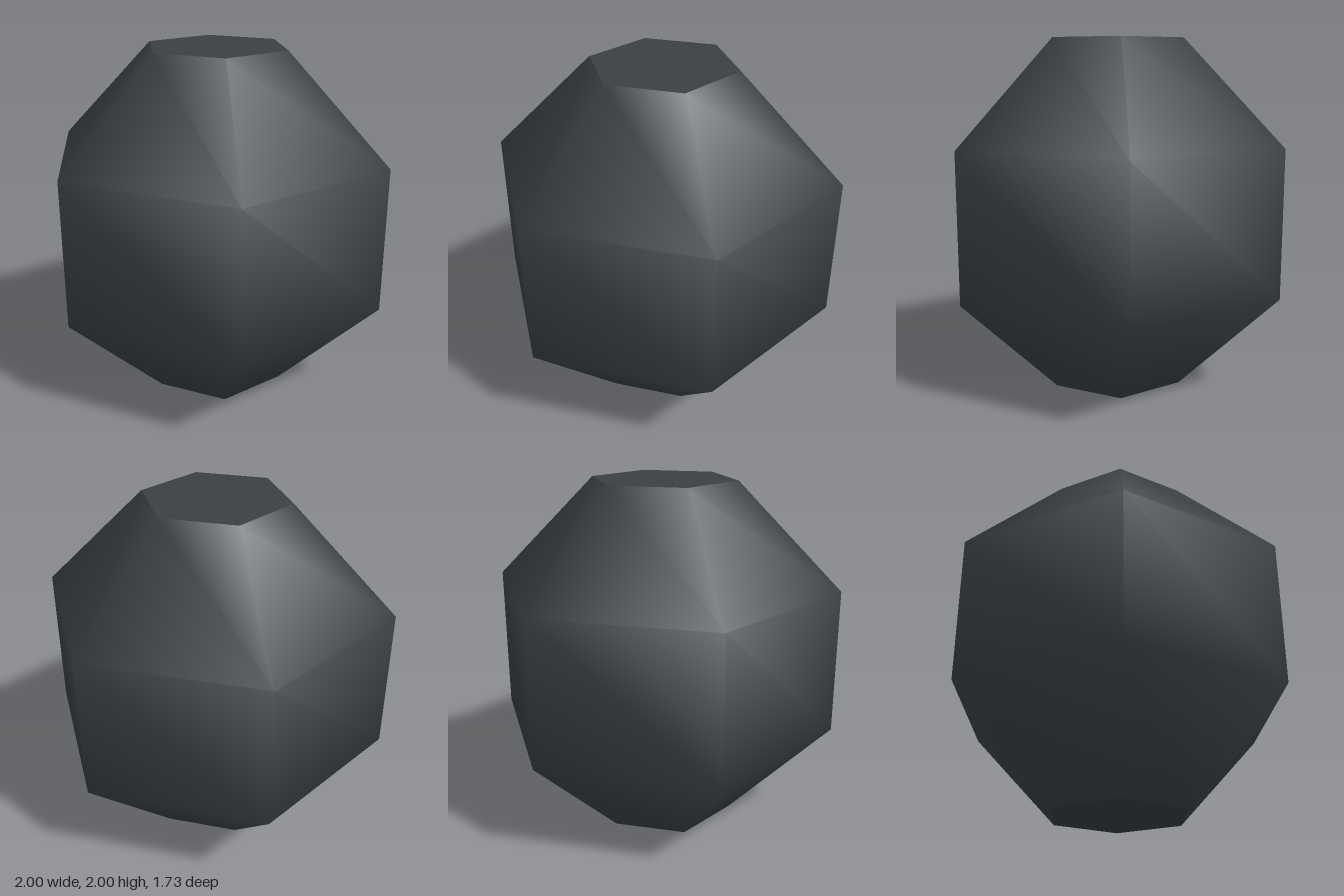
import * as THREE from 'three';

export function createModel() {
  const model = new THREE.Group();
  model.name = 'facetedStone';

  const charcoal = new THREE.MeshStandardMaterial({ color: 0x3a4045 });
  charcoal.name = 'charcoal';

  const sides = 6;
  const capRadius = Math.SQRT2 - 1;
  const height = 2;

  // Six-sided body with a regular octagon as its profile, smooth shaded
  const profile = [
    new THREE.Vector2(capRadius, 0),
    new THREE.Vector2(1, 1 - capRadius),
    new THREE.Vector2(1, 1 + capRadius),
    new THREE.Vector2(capRadius, height),
  ];
  const body = new THREE.Mesh(new THREE.LatheGeometry(profile, sides, Math.PI / 2), charcoal);
  body.name = 'body';
  model.add(body);

  // Flat hexagonal ends with crisp edges
  const addCap = (name, y, tilt) => {
    const cap = new THREE.Mesh(new THREE.CircleGeometry(capRadius, sides), charcoal);
    cap.name = name;
    cap.rotation.x = tilt;
    cap.position.y = y;
    model.add(cap);
  };
  addCap('topCap', height, -Math.PI / 2);
  addCap('bottomCap', 0, Math.PI / 2);

  return model;
}
